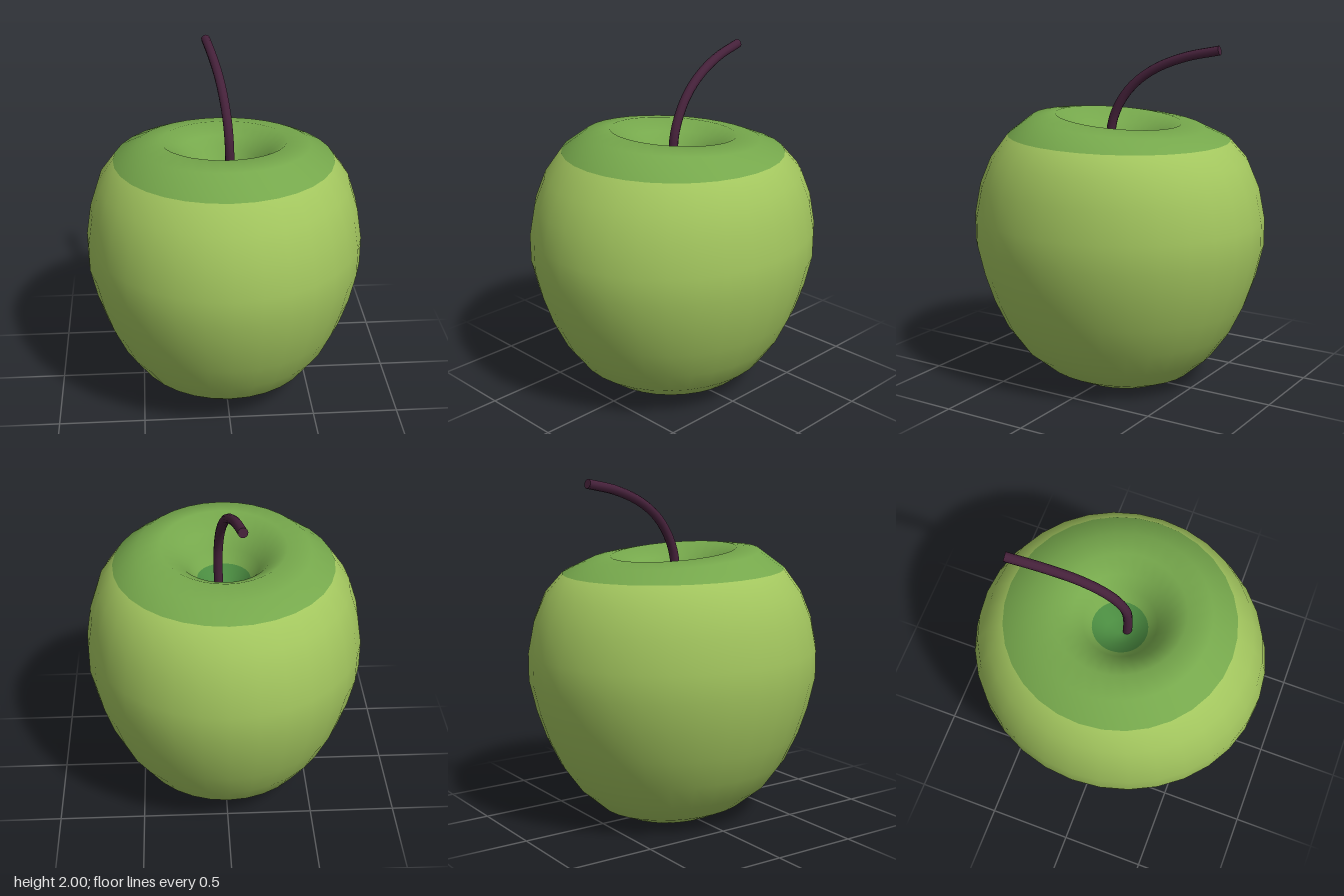
import * as THREE from 'three';
import { mergeVertices } from 'three/addons/utils/BufferGeometryUtils.js';

const paint = (name, color) => {
  const m = new THREE.MeshStandardMaterial({ color });
  m.name = name;
  return m;
};

export function createModel() {
  const skin = paint('light green skin', 0xa2c55e);
  const crown = paint('mid green crown', 0x76a84c);
  const core = paint('deep green core', 0x4a8b40);
  const bark = paint('dark stem', 0x45213a);
  const apple = new THREE.Group();
  apple.name = 'apple';

  // Profile from the bottom dimple, round the flank, into the top hollow
  const profile = [
    [0, 0.18], [0.08, 0.165], [0.16, 0.13], [0.23, 0.06], [0.305, 0.015],
    [0.45, 0.08], [0.58, 0.185], [0.69, 0.335], [0.77, 0.5], [0.825, 0.66],
    [0.867, 0.84], [0.867, 1.0], [0.83, 1.18], [0.76, 1.335], [0.655, 1.46],
    [0.51, 1.545], [0.37, 1.567], [0.27, 1.5], [0.21, 1.43], [0.16, 1.36],
    [0.08, 1.29], [0, 1.26],
  ].map(([r, y]) => new THREE.Vector2(r, y));
  const coreBottom = 2, crownStart = 14, coreTop = 19;

  let body = new THREE.LatheGeometry(profile, 32);

  // Narrow the sides and tilt the shoulders and the base
  const p = body.attributes.position, step = THREE.MathUtils.smoothstep;
  for (let i = 0; i < p.count; i++) {
    const y = p.getY(i), z = p.getZ(i);
    p.setX(i, p.getX(i) * (0.928 + 0.05 * step(y, 1.05, 1.6)));
    const tilt = 0.088 * step(y, 1.4, 1.58) + 0.04 * (1 - step(y, 0, 0.25));
    p.setY(i, y + z * tilt);
  }
  body.deleteAttribute('normal');
  body.deleteAttribute('uv');
  body = mergeVertices(body, 1e-4);

  // Sort the faces into colour bands by their ring on the profile
  const bands = [[], [], []];
  const index = body.index.array, rings = profile.length - 1;
  for (let q = 0; q < index.length / 6; q++) {
    const ring = q % rings;
    const band = ring < coreBottom || ring >= coreTop ? 2 : ring >= crownStart ? 1 : 0;
    for (let k = 0; k < 6; k++) bands[band].push(index[q * 6 + k]);
  }
  body.setIndex(bands.flat());
  let start = 0;
  bands.forEach((b, i) => {
    body.addGroup(start, b.length, i);
    start += b.length;
  });
  body.computeVertexNormals();
  const fruit = new THREE.Mesh(body, [skin, crown, core]);
  fruit.name = 'fruit';
  apple.add(fruit);

  // Curved stem leaning to the back, with a flat cap at its tip
  const path = new THREE.CatmullRomCurve3([
    [0.025, 1.24, 0.035], [0.032, 1.42, 0.035], [0.03, 1.55, 0.022],
    [0.022, 1.67, -0.03], [0.008, 1.77, -0.11], [-0.012, 1.86, -0.235],
    [-0.04, 1.93, -0.41], [-0.068, 1.973, -0.612],
  ].map((v) => new THREE.Vector3(...v)));
  const stem = new THREE.Mesh(new THREE.TubeGeometry(path, 24, 0.027, 10), bark);
  stem.name = 'stem';
  const tip = new THREE.Mesh(new THREE.CircleGeometry(0.027, 10), bark);
  tip.name = 'stemTip';
  tip.position.copy(path.getPoint(1));
  tip.lookAt(path.getPoint(1).add(path.getTangent(1)));
  apple.add(stem, tip);

  // Small nub in the bottom dimple
  const nub = new THREE.Mesh(new THREE.CylinderGeometry(0.03, 0.03, 0.07, 10), bark);
  nub.name = 'bottomNub';
  nub.position.set(0, 0.17, 0);
  apple.add(nub);

  return apple;
}
